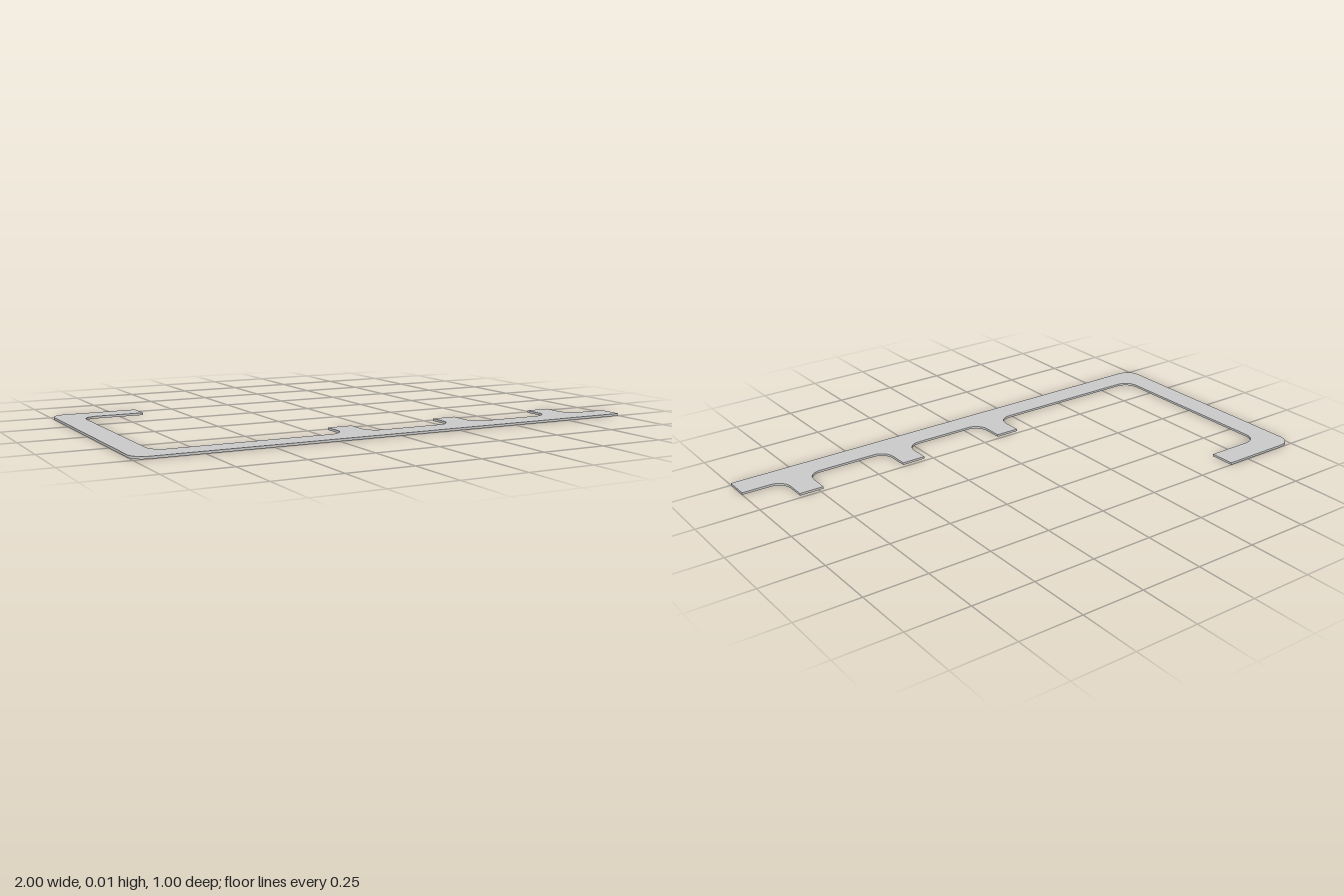
import * as THREE from 'three';

const THICKNESS = 0.009;
const R = 0.058;       // fillet radius
const INNER = 0.4;     // inner edge of both arms
const TOOTH_TIP = -0.266;
const TOOTH_WIDTH = 0.098;

// Outline from corners [x, y, radius]; right-angled corners are rounded
function roundedOutline(corners) {
  const shape = new THREE.Shape();
  const n = corners.length;
  const K = 0.5523; // cubic approximation of a quarter circle
  corners.forEach(([x, y, r = 0], i) => {
    const c = new THREE.Vector2(x, y);
    const toward = ([px, py]) => new THREE.Vector2(px, py).sub(c).normalize();
    const a = toward(corners[(i + n - 1) % n]);
    const b = toward(corners[(i + 1) % n]);
    const at = (dir, d) => c.clone().addScaledVector(dir, d);
    const start = at(a, r);
    if (i === 0) shape.moveTo(start.x, start.y);
    else shape.lineTo(start.x, start.y);
    if (r > 0) {
      const c1 = at(a, r * (1 - K)), c2 = at(b, r * (1 - K)), end = at(b, r);
      shape.bezierCurveTo(c1.x, c1.y, c2.x, c2.y, end.x, end.y);
    }
  });
  shape.closePath();
  return shape;
}

export function createModel() {
  const group = new THREE.Group();
  group.name = 'flatHookRack';

  // Long arm, three teeth, side arm and short hook as one plate (shape y is -z)
  const corners = [[-1, -0.5, R], [1, -0.5], [1, -INNER]];
  for (const x of [0.78, 0.331, -0.125]) {
    const h = TOOTH_WIDTH / 2;
    corners.push([x + h, -INNER, R], [x + h, TOOTH_TIP], [x - h, TOOTH_TIP], [x - h, -INNER, R]);
  }
  corners.push(
    [-0.902, -INNER, R], [-0.902, INNER, R],
    [-0.656, INNER], [-0.656, 0.5], [-1, 0.5, R],
  );

  const geometry = new THREE.ExtrudeGeometry(roundedOutline(corners), {
    depth: THICKNESS, bevelEnabled: false, curveSegments: 12,
  });
  geometry.rotateX(-Math.PI / 2);

  const plate = new THREE.Mesh(geometry, new THREE.MeshStandardMaterial({ color: 0xcccccc }));
  plate.name = 'toothedPlate';
  group.add(plate);
  return group;
}
